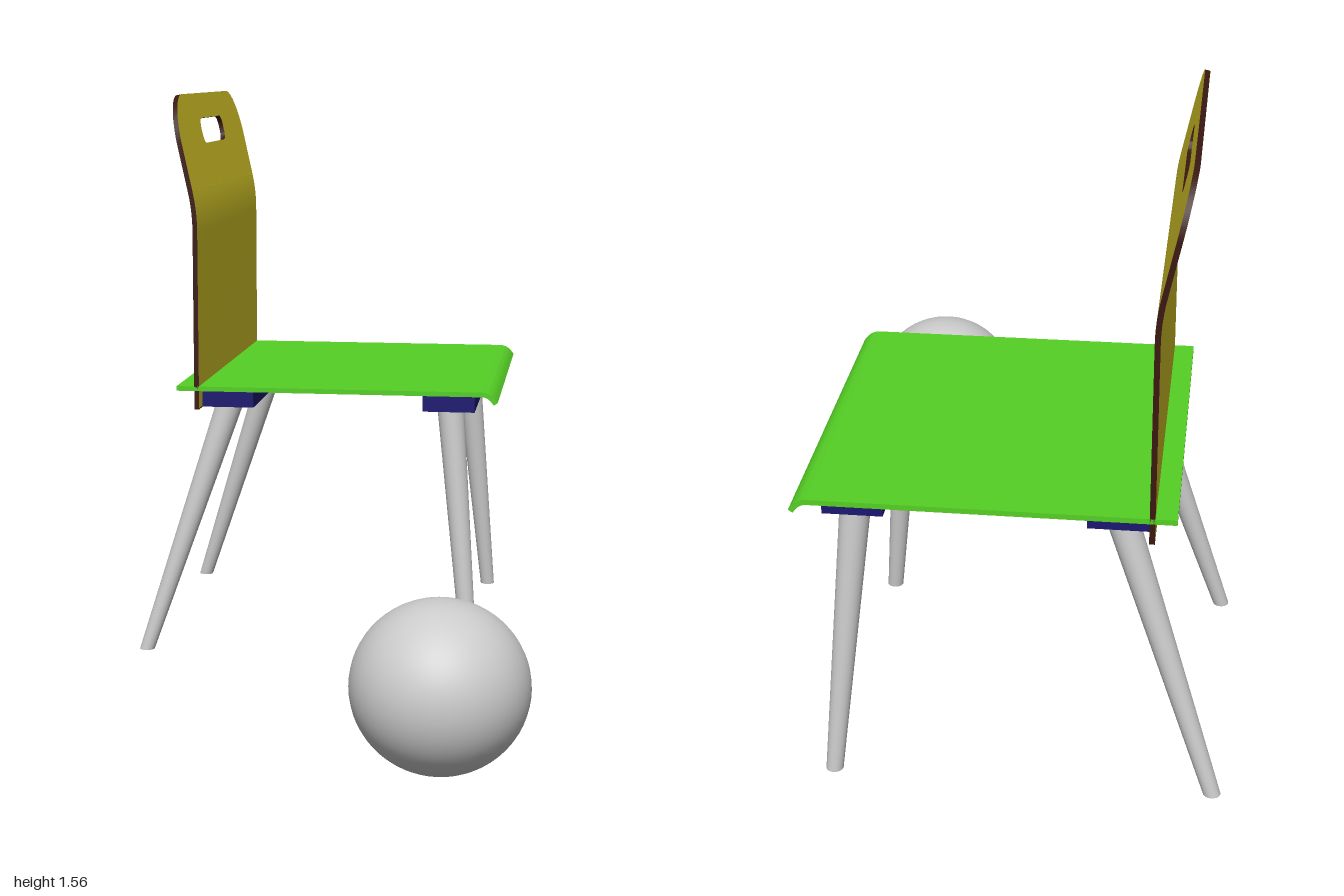
import * as THREE from 'three';
import { toCreasedNormals } from 'three/addons/utils/BufferGeometryUtils.js';

const mat = (color) => new THREE.MeshStandardMaterial({ color });
const grey = mat(0xcccccc), green = mat(0x55d025), yellow = mat(0xd6c628);
const brown = mat(0x3a1710), navy = mat(0x1c1670);

const MID_Z = -0.533, WIDTH = 0.935, PLY = 0.013, TILT = 0.215;

function add(group, name, geometry, material, x = 0, y = 0, z = 0) {
  const mesh = new THREE.Mesh(geometry, material);
  mesh.name = name;
  mesh.position.set(x, y, z);
  group.add(mesh);
  return mesh;
}

// Sheet of constant thickness following a side profile, spanning the chair's width
function sheet(points, thickness) {
  const a = [], b = [];
  points.forEach((p, i) => {
    const prev = points[Math.max(i - 1, 0)], next = points[Math.min(i + 1, points.length - 1)];
    const dir = next.clone().sub(prev).normalize();
    const n = new THREE.Vector2(-dir.y, dir.x).multiplyScalar(thickness / 2);
    a.push(p.clone().add(n));
    b.unshift(p.clone().sub(n));
  });
  const geo = new THREE.ExtrudeGeometry(new THREE.Shape([...a, ...b]), { depth: WIDTH, bevelEnabled: false });
  geo.translate(0, 0, MID_Z - WIDTH / 2);
  return toCreasedNormals(geo, 0.5);
}

// Straight run, then a rounded bend
function bentPath(start, bendStart, control, end) {
  const v = (p) => new THREE.Vector2(...p);
  const bend = new THREE.QuadraticBezierCurve(v(bendStart), v(control), v(end));
  return [v(start), ...bend.getPoints(10)];
}

// Upper back: rounded top corners and a hand slot
function upperBack(height) {
  const w = WIDTH / 2, r = 0.14;
  const s = new THREE.Shape();
  s.moveTo(-w, 0);
  s.lineTo(w, 0);
  s.lineTo(w, height - r);
  s.absarc(w - r, height - r, r, 0, Math.PI / 2, false);
  s.absarc(-w + r, height - r, r, Math.PI / 2, Math.PI, false);
  s.lineTo(-w, 0);

  const slot = new THREE.Path(), hw = 0.162, hh = 0.036, cr = 0.03, cy = 0.157;
  [[1, 1], [-1, 1], [-1, -1], [1, -1]].forEach(([sx, sy], i) => {
    slot.absarc(sx * (hw - cr), cy + sy * (hh - cr), cr, i * Math.PI / 2, (i + 1) * Math.PI / 2, false);
  });
  slot.closePath();
  s.holes.push(slot);

  const geo = new THREE.ExtrudeGeometry(s, { depth: PLY, bevelEnabled: false, curveSegments: 12 });
  geo.translate(0, 0, -PLY / 2);
  geo.rotateY(Math.PI / 2);
  geo.rotateZ(TILT);
  return toCreasedNormals(geo, 0.5);
}

// Tapered leg leaning from top to foot, with level ends
function leg(top, foot, rTop, rFoot) {
  const h = top.y - foot.y;
  const geo = new THREE.CylinderGeometry(rTop, rFoot, h, 32);
  geo.applyMatrix4(new THREE.Matrix4().set(
    1, (top.x - foot.x) / h, 0, (top.x + foot.x) / 2,
    0, 1, 0, (top.y + foot.y) / 2,
    0, (top.z - foot.z) / h, 1, (top.z + foot.z) / 2,
    0, 0, 0, 1));
  return geo;
}

export function createModel() {
  const model = new THREE.Group();
  model.name = 'chairAndBall';
  const chair = new THREE.Group();
  chair.name = 'chair';
  model.add(chair);

  // Seat with a rolled front edge
  add(chair, 'seat', sheet(bentPath([-0.448, 0.757], [0.395, 0.757], [0.417, 0.757], [0.432, 0.732]), PLY), green);

  // Backrest: upright sheet with a bend, then the tilted top panel
  const bx = -0.392, bend = 0.055;
  const joint = [bx - bend * Math.sin(TILT), 1.245 + bend * Math.cos(TILT)];
  add(chair, 'lowerBack', sheet(bentPath([bx, 0.702], [bx, 1.19], [bx, 1.245], joint), PLY), [brown, yellow]);
  add(chair, 'lowerBackEdge', new THREE.BoxGeometry(PLY, 0.003, WIDTH), brown, bx, 0.7005, MID_Z);
  add(chair, 'upperBack', upperBack(0.265), [yellow, brown], joint[0], joint[1], MID_Z);

  // Cross rails under the seat, each with two bolts and two splayed legs
  const rails = [
    { name: 'front', x: 0.301, legTop: 0.303, foot: 0.366, r: 0.037 },
    { name: 'rear', x: -0.313, legTop: -0.318, foot: -0.55, r: 0.039 },
  ];
  for (const rail of rails) {
    add(chair, rail.name + 'Rail', new THREE.BoxGeometry(0.143, 0.052, 0.836), navy, rail.x, 0.726, MID_Z + 0.005);
    for (const side of [-1, 1]) {
      add(chair, rail.name + 'Bolt', new THREE.CylinderGeometry(0.014, 0.012, 0.012, 20), grey,
        rail.x, 0.699, MID_Z + side * 0.212);
      const top = new THREE.Vector3(rail.legTop, 0.702, MID_Z + 0.003 + side * 0.364);
      const foot = new THREE.Vector3(rail.foot, 0, MID_Z + 0.003 + side * 0.429);
      add(chair, rail.name + 'Leg', leg(top, foot, rail.r, 0.021), grey);
    }
  }

  // Ball resting on the floor
  const ball = add(model, 'ball', new THREE.SphereGeometry(1, 48, 32), grey, 0.355, 0.2075, 0.786);
  ball.scale.set(0.214, 0.2075, 0.214);
  return model;
}
